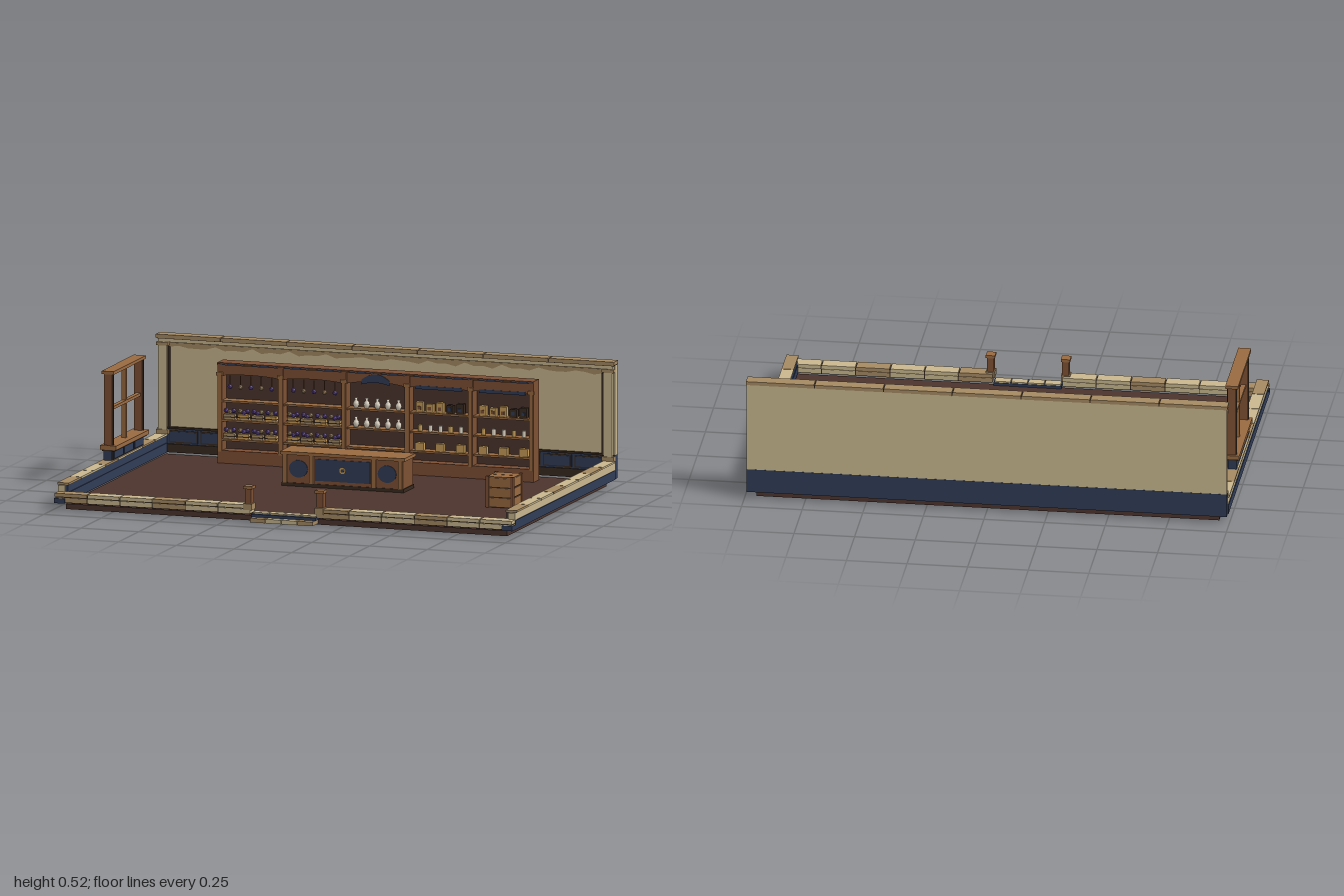
import * as THREE from 'three';

const mat = (name, color) => Object.assign(new THREE.MeshStandardMaterial({ color }), { name });
const cream = mat('cream stone', 0xc9b78f), tan = mat('tan stone', 0xa68a63), navy = mat('navy paint', 0x303c56),
  floorBrown = mat('floor brown', 0x4b342d), wood = mat('wood', 0x996a41), darkWood = mat('dark wood', 0x7e5034),
  shade = mat('near black brown', 0x38291f), purple = mat('purple flowers', 0x66499a),
  gold = mat('gold', 0xc79d58), white = mat('porcelain', 0xded5c4);

// Box from its limits on each axis
function box(parent, name, m, x0, x1, y0, y1, z0, z1) {
  const mesh = new THREE.Mesh(new THREE.BoxGeometry(x1 - x0, y1 - y0, z1 - z0), m);
  mesh.position.set((x0 + x1) / 2, (y0 + y1) / 2, (z0 + z1) / 2);
  mesh.name = name;
  parent.add(mesh);
  return mesh;
}
function part(parent, name) {
  const g = new THREE.Group();
  g.name = name;
  parent.add(g);
  return g;
}
// Thin painted plate facing +z, from a shape
function plate(parent, name, m, shape, x, y, z) {
  const mesh = new THREE.Mesh(new THREE.ExtrudeGeometry(shape, { depth: 0.004, bevelEnabled: false, curveSegments: 12 }), m);
  mesh.position.set(x, y, z);
  mesh.name = name;
  parent.add(mesh);
}
const ellipse = (rx, ry) => new THREE.Shape().absellipse(0, 0, rx, ry, 0, Math.PI * 2);

function buildBackWall(root) {
  const g = part(root, 'backWall');
  box(g, 'wallPlaster', cream, -0.99, 0.99, 0.13, 0.505, -0.664, -0.636);
  box(g, 'wallBase', navy, -0.99, 0.99, 0.03, 0.13, -0.665, -0.632);
  box(g, 'wainscotRail', shade, -0.95, 0.95, 0.128, 0.136, -0.636, -0.624);
  box(g, 'skirting', shade, -0.95, 0.95, 0.03, 0.065, -0.632, -0.624);
  for (let i = 0; i < 14; i++) {
    const x = -0.945 + i * 0.135;
    box(g, 'wainscotFrame', shade, x + 0.006, x + 0.129, 0.07, 0.122, -0.632, -0.629);
    box(g, 'wainscotPanel', navy, x + 0.011, x + 0.124, 0.075, 0.117, -0.632, -0.626);
  }
  // Worn strip below the cornice
  const worn = new THREE.Shape().moveTo(-0.94, 0.485);
  for (let i = 0; i <= 47; i++) worn.lineTo(-0.94 + i * 0.04, 0.467 + 0.011 * Math.sin(i * 2.3) * Math.cos(i * 0.7));
  worn.lineTo(0.94, 0.485);
  plate(g, 'wornPlaster', tan, worn, 0, 0, -0.636);
  // Cornice and coping stones
  box(g, 'cornice', cream, -0.985, 0.985, 0.488, 0.502, -0.636, -0.62);
  box(g, 'copingJoint', shade, -0.99, 0.99, 0.502, 0.516, -0.664, -0.616);
  for (let i = 0; i < 7; i++) {
    const x = -0.995 + i * 0.2843;
    box(g, 'copingStone', tan, x + 0.002, x + 0.2823, 0.505, 0.52, -0.666, -0.612);
  }
  // Corner pilasters
  for (const s of [-1, 1]) {
    const x = s * 0.965;
    box(g, 'pilaster', cream, x - 0.018, x + 0.018, 0.12, 0.48, -0.636, -0.617);
    box(g, 'pilasterGroove', shade, x - s * 0.024 - 0.004, x - s * 0.024 + 0.004, 0.13, 0.47, -0.636, -0.622);
    box(g, 'pilasterCapital', tan, x - 0.026, x + 0.026, 0.474, 0.488, -0.636, -0.612);
    box(g, 'pilasterFoot', tan, x - 0.026, x + 0.026, 0.107, 0.125, -0.636, -0.612);
  }
}

function buildLowWalls(root) {
  const pattern = [cream, tan, cream, cream, tan, cream, cream, tan];
  for (const s of [-1, 1]) {
    const g = part(root, s > 0 ? 'leftLowWall' : 'rightLowWall');
    const a = s > 0 ? 0.95 : -0.99, b = a + 0.04;
    box(g, 'sideBase', navy, a - 0.003, b + 0.003, 0.03, 0.068, -0.632, 0.6);
    box(g, 'sideBaseEnd', navy, a - 0.003, b + 0.003, 0.03, 0.05, 0.6, 0.644);
    box(g, 'sideStone', cream, s > 0 ? 0.96 : a, s > 0 ? b : -0.96, 0.068, 0.097, -0.632, 0.6);
    box(g, 'sideInnerPanel', navy, s > 0 ? 0.95 : -0.96, s > 0 ? 0.96 : -0.95, 0.068, 0.097, -0.632, 0.59);
    box(g, 'capJoint', shade, a, b, 0.097, 0.102, -0.63, 0.59);
    pattern.forEach((m, i) => {
      const z = -0.625 + i * 0.1525;
      box(g, 'sideCapStone', m, a - 0.005, b + 0.005, 0.099, 0.107, z + 0.002, z + 0.1505);
    });
  }
  // Front wall with an entrance gap
  const f = part(root, 'frontLowWall');
  const tones = [tan, cream, cream, tan, cream, cream];
  for (const [x0, list] of [[-0.992, tones], [0.142, tones]]) {
    box(f, 'frontJoint', shade, x0 + 0.004, x0 + 0.846, 0.032, 0.066, 0.588, 0.636);
    list.forEach((m, i) => {
      const x = x0 + i * 0.1417;
      box(f, 'frontStone', m, x + 0.002, x + 0.1397, 0.035, 0.053, 0.586, 0.639);
      box(f, 'frontCapStone', m, x + 0.002, x + 0.1397, 0.056, 0.071, 0.584, 0.642);
    });
  }
  // Gate posts and entrance step
  const e = part(root, 'entrance');
  for (const s of [-1, 1]) {
    const x = s * 0.155;
    box(e, 'gatePost', darkWood, x - 0.014, x + 0.014, 0.05, 0.138, 0.602, 0.634);
    box(e, 'gatePostCap', wood, x - 0.019, x + 0.019, 0.136, 0.148, 0.598, 0.64);
    box(e, 'gatePostFoot', tan, x - 0.019, x + 0.019, 0.05, 0.076, 0.598, 0.643);
  }
  box(e, 'threshold', navy, -0.14, 0.14, 0.022, 0.034, 0.585, 0.641);
  for (let i = 0; i < 4; i++) {
    const x = -0.138 + i * 0.069;
    box(e, 'thresholdStone', cream, x + 0.002, x + 0.067, 0.03, 0.04, 0.588, 0.628);
    box(e, 'stepStone', i % 3 ? cream : tan, x + 0.002, x + 0.067, 0.004, 0.021, 0.602, 0.666);
  }
}

function buildWindow(root) {
  const g = part(root, 'window');
  box(g, 'windowWall', navy, -0.988, -0.952, 0.03, 0.15, -0.345, 0.045);
  for (let i = 0; i < 3; i++) {
    const z = -0.335 + i * 0.125;
    box(g, 'windowPanelFrame', shade, -0.953, -0.948, 0.108, 0.146, z, z + 0.12);
    box(g, 'windowPanel', navy, -0.952, -0.945, 0.113, 0.142, z + 0.005, z + 0.115);
  }
  box(g, 'windowSill', wood, -1.0, -0.93, 0.152, 0.17, -0.355, 0.052);
  box(g, 'sillTrim', shade, -0.993, -0.938, 0.146, 0.153, -0.348, 0.047);
  for (const z of [-0.345, 0.025]) {
    box(g, 'windowJamb', darkWood, -0.985, -0.95, 0.17, 0.465, z, z + 0.02);
    box(g, 'jambLine', shade, -0.988, -0.947, 0.17, 0.465, z + 0.007, z + 0.013);
  }
  box(g, 'windowHead', wood, -0.995, -0.942, 0.465, 0.478, -0.352, 0.05);
  box(g, 'mullion', wood, -0.975, -0.957, 0.17, 0.465, -0.157, -0.143);
  box(g, 'crossbar', wood, -0.976, -0.956, 0.314, 0.326, -0.325, 0.025);
}

// Goods for the cabinet, each standing on a shelf
const vaseGeo = new THREE.LatheGeometry(
  [[0, 0], [0.008, 0], [0.013, 0.014], [0.011, 0.024], [0.005, 0.032], [0.007, 0.042], [0, 0.042]].map(p => new THREE.Vector2(...p)), 10);
const jarGeo = new THREE.CylinderGeometry(0.009, 0.009, 0.026, 8).translate(0, 0.013, 0);
const budGeo = new THREE.IcosahedronGeometry(0.011, 0);
function item(g, name, geo, m, x, y, z) {
  const mesh = new THREE.Mesh(geo, m);
  mesh.position.set(x, y, z);
  mesh.name = name;
  g.add(mesh);
}
function potPlant(g, x, y, z, k) {
  box(g, 'planter', k % 2 ? gold : tan, x - 0.024, x + 0.024, y, y + 0.022, z - 0.012, z + 0.012);
  box(g, 'planterBand', shade, x - 0.025, x + 0.025, y + 0.008, y + 0.012, z - 0.013, z + 0.013);
  for (let j = -1; j <= 1; j++) item(g, 'flower', budGeo, (j + k) % 3 ? purple : tan, x + j * 0.016, y + 0.03 + 0.006 * (j & 1), z);
}

function buildCabinet(root) {
  const g = part(root, 'displayCabinet');
  const xs = [-0.685, -0.411, -0.137, 0.137, 0.411, 0.685];
  box(g, 'cabinetBack', floorBrown, -0.68, 0.68, 0.022, 0.435, -0.565, -0.552);
  box(g, 'cabinetTop', darkWood, -0.685, 0.685, 0.43, 0.44, -0.566, -0.496);
  box(g, 'cabinetTopTrim', navy, -0.685, 0.685, 0.433, 0.437, -0.497, -0.494);
  box(g, 'cabinetPlinth', darkWood, -0.68, 0.68, 0.022, 0.075, -0.553, -0.5);
  xs.forEach((x, i) => {
    const c = Math.min(Math.max(x, -0.675), 0.675);
    box(g, 'upright', darkWood, c - 0.01, c + 0.01, 0.022, 0.432, -0.564, -0.498);
    box(g, 'uprightFace', wood, c - 0.007, c + 0.007, 0.07, 0.39, -0.5, -0.494);
    box(g, 'uprightBlock', wood, c - 0.013, c + 0.013, 0.385, 0.4, -0.5, -0.492);
  });
  for (let b = 0; b < 5; b++) {
    const x0 = xs[b] + 0.012, x1 = xs[b + 1] - 0.012, c = (x0 + x1) / 2;
    for (const y of [0.115, 0.195, 0.275]) {
      box(g, 'shelf', wood, x0, x1, y, y + 0.008, -0.553, -0.502);
    }
    // Header boards, arched in the middle bay
    const w = (x1 - x0) / 2;
    const header = new THREE.Shape().moveTo(-w, 0.432).lineTo(-w, 0.385).quadraticCurveTo(0, b === 2 ? 0.41 : 0.4, w, 0.385).lineTo(w, 0.432);
    plate(g, 'header', darkWood, header, c, 0, -0.506);
    if (b === 2) {
      const arch = new THREE.Shape().moveTo(-0.06, 0).lineTo(-0.06, 0.02).quadraticCurveTo(0, 0.07, 0.06, 0.02)
        .lineTo(0.06, 0).quadraticCurveTo(0, 0.02, -0.06, 0);
      plate(g, 'archPanel', navy, arch, c, 0.385, -0.502);
    }
    if (b > 2) box(g, 'navyValance', navy, x0 + 0.025, x1 - 0.025, 0.38, 0.394, -0.51, -0.5);
    // Stock on the shelves
    const z = -0.522;
    if (b < 2) {
      for (let i = 0; i < 5; i++) {
        const x = c - 0.09 + i * 0.045;
        item(g, 'hangingBunch', budGeo, i % 2 ? tan : purple, x, 0.338, z);
        box(g, 'bunchStem', darkWood, x - 0.002, x + 0.002, 0.345, 0.385, z - 0.002, z + 0.002);
      }
      for (const y of [0.203, 0.123]) for (let i = 0; i < 4; i++) potPlant(g, c - 0.09 + i * 0.06, y, z, i + b);
    } else if (b === 2) {
      for (const y of [0.283, 0.203]) for (let i = 0; i < 5; i++) item(g, 'vase', vaseGeo, white, c - 0.092 + i * 0.046, y, z);
    } else {
      for (let i = 0; i < 5; i++) {
        const x = c - 0.088 + i * 0.044, books = i > 2;
        box(g, books ? 'book' : 'goodsBox', books ? shade : gold, x - 0.015, x + 0.015, 0.283, 0.325 - (i % 2) * 0.008, z - 0.012, z + 0.012);
        box(g, 'label', books ? navy : darkWood, x - 0.007, x + 0.007, 0.293, 0.307, z + 0.012, z + 0.015);
        item(g, 'jar', jarGeo, i % 3 ? white : gold, x, 0.203, z);
        if (i % 2 === 0) box(g, 'smallBox', gold, x - 0.018, x + 0.018, 0.123, 0.155, z - 0.012, z + 0.012);
      }
    }
  }
}

function buildCounter(root) {
  const g = part(root, 'counter');
  box(g, 'counterBody', darkWood, -0.26, 0.26, 0.022, 0.152, -0.22, -0.096);
  box(g, 'counterTop', wood, -0.27, 0.27, 0.152, 0.165, -0.227, -0.088);
  box(g, 'counterPlinth', shade, -0.264, 0.264, 0.022, 0.036, -0.223, -0.092);
  for (const x of [-0.25, -0.135, 0.135, 0.25]) box(g, 'counterPost', wood, x - 0.009, x + 0.009, 0.036, 0.152, -0.097, -0.089);
  box(g, 'counterPanel', navy, -0.12, 0.12, 0.05, 0.14, -0.097, -0.092);
  for (const s of [-1, 1]) plate(g, 'sidePanel', navy, ellipse(0.04, 0.036), s * 0.192, 0.095, -0.096);
  plate(g, 'medallionRim', gold, ellipse(0.013, 0.013), 0, 0.098, -0.093);
  plate(g, 'medallion', navy, ellipse(0.007, 0.007), 0, 0.098, -0.092);
}

function buildCrate(root) {
  const g = part(root, 'crate');
  box(g, 'crateCore', shade, 0.698, 0.802, 0.022, 0.146, -0.002, 0.102);
  for (let i = 0; i < 3; i++) {
    const y = 0.026 + i * 0.041;
    box(g, 'crateSlat', wood, 0.694, 0.806, y, y + 0.036, -0.006, 0.106);
  }
  for (const z of [-0.006, 0.052]) box(g, 'crateLidBoard', wood, 0.694, 0.806, 0.145, 0.15, z, z + 0.054);
  for (const x of [0.69, 0.796]) for (const z of [-0.01, 0.096])
    box(g, 'cratePost', darkWood, x, x + 0.014, 0.022, 0.152, z, z + 0.014);
}

export function createModel() {
  const root = new THREE.Group();
  root.name = 'shopInterior';
  box(root, 'floor', floorBrown, -0.955, 0.955, 0, 0.022, -0.632, 0.6);
  buildBackWall(root);
  buildLowWalls(root);
  buildWindow(root);
  buildCabinet(root);
  buildCounter(root);
  buildCrate(root);
  return root;
}
